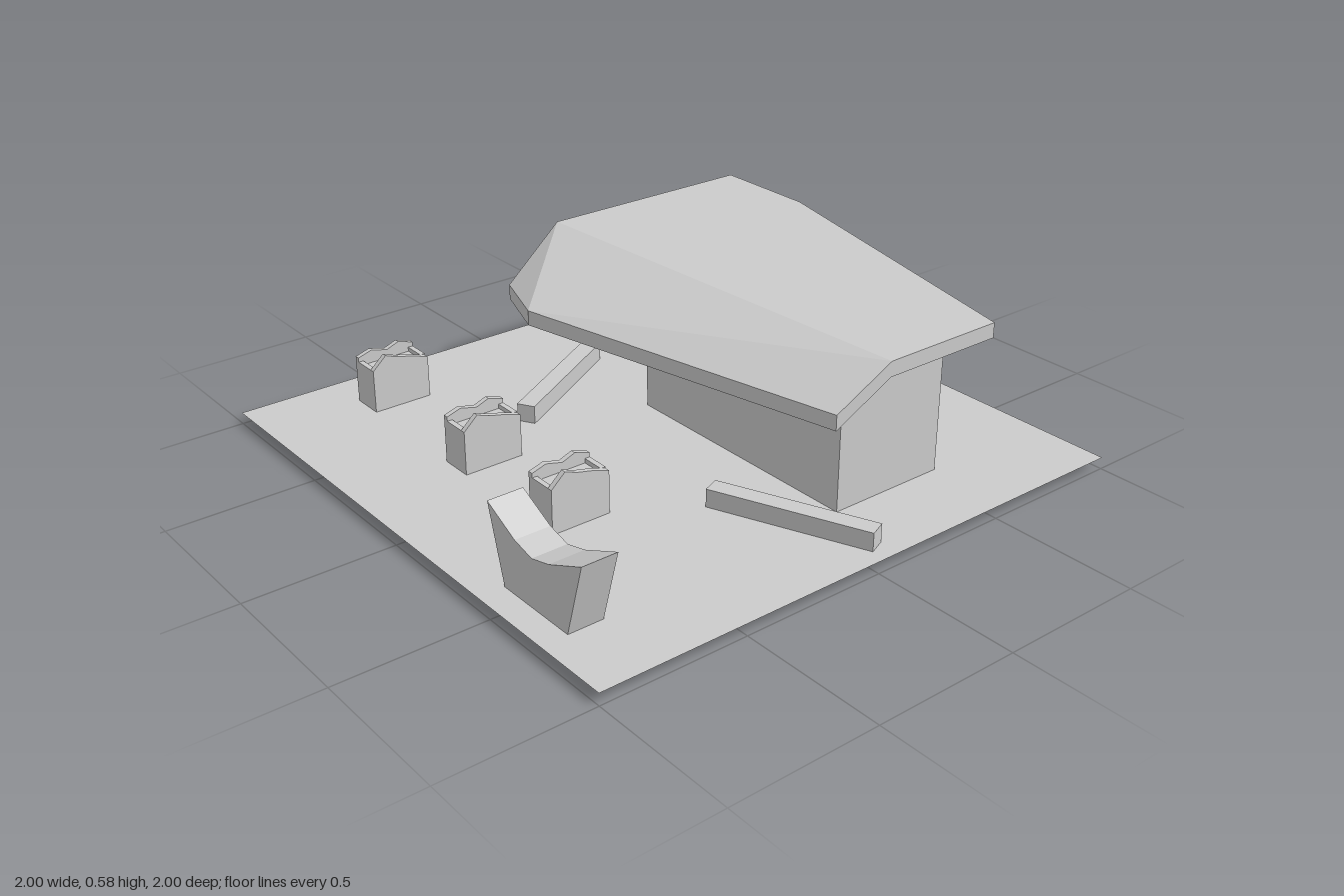
import * as THREE from 'three';

const mat = new THREE.MeshStandardMaterial({ color: 0xcccccc, flatShading: true });
const thin = new THREE.MeshStandardMaterial({ color: 0xcccccc, flatShading: true, side: THREE.DoubleSide });
const GROUND = 0.04;

function add(parent, name, geometry, x = 0, y = 0, z = 0, material = mat) {
  const mesh = new THREE.Mesh(geometry, material);
  mesh.name = name;
  mesh.position.set(x, y, z);
  parent.add(mesh);
  return mesh;
}

const shapeOf = (pts) => new THREE.Shape(pts.map(([x, y]) => new THREE.Vector2(x, y)));
const extrude = (shape, depth) => new THREE.ExtrudeGeometry(shape, { depth, bevelEnabled: false });

function surface(points, index) {
  const g = new THREE.BufferGeometry();
  g.setAttribute('position', new THREE.Float32BufferAttribute(points.flat(), 3));
  g.setIndex(index);
  const flat = g.toNonIndexed();
  flat.computeVertexNormals();
  return flat;
}

// Folded roof slab: flat on one side, drooping flap on the other
function roofGeometry() {
  const top = [
    [0.14, 0.585, 0.87], [0.57, 0.585, 0.87], [0.83, 0.585, -0.26], [0.83, 0.585, -0.63],
    [0.05, 0.585, -0.63], [-0.22, 0.455, -0.53], [-0.33, 0.483, -0.26], [-0.07, 0.48, 0.87],
  ];
  const n = top.length;
  const bottom = top.map(([x, y, z]) => [x, y - 0.05, z]);
  const index = [];
  for (const [a, b, c] of [[0, 1, 2], [0, 2, 3], [0, 3, 4], [0, 4, 6], [4, 5, 6], [0, 6, 7]]) {
    index.push(a, b, c, a + n, c + n, b + n);
  }
  for (let i = 0; i < n; i++) {
    const j = (i + 1) % n;
    index.push(i, i + n, j + n, i, j + n, j);
  }
  return surface([...top, ...bottom], index);
}

function house() {
  const g = new THREE.Group();
  g.name = 'house';

  // Three plain walls: left, front and right
  const corners = [[0.1, -0.2, 0.54], [0.1, 0.72, 0.518], [0.525, 0.72, 0.54], [0.735, -0.2, 0.54]];
  ['sideWall', 'frontWall', 'slantedWall'].forEach((name, i) => {
    const [ax, az, ah] = corners[i];
    const [bx, bz, bh] = corners[i + 1];
    const quad = [[ax, 0, az], [bx, 0, bz], [bx, bh, bz], [ax, ah, az]];
    add(g, name, surface(quad, [0, 1, 2, 0, 2, 3]), 0, 0, 0, thin);
  });

  // Back wall with a wide window opening
  const back = shapeOf([[0.1, 0], [0.735, 0], [0.735, 0.54], [0.1, 0.54]]);
  back.holes.push(new THREE.Path([[0.17, 0.18], [0.17, 0.47], [0.65, 0.47], [0.65, 0.18]]
    .map(([x, y]) => new THREE.Vector2(x, y))));
  add(g, 'windowWall', extrude(back, 0.04), 0, 0, -0.2);

  add(g, 'roof', roofGeometry());
  add(g, 'roofPost', new THREE.BoxGeometry(0.06, 0.525, 0.06), 0.708, 0.2775, -0.485);
  return g;
}

// Open planter with uneven front and back rims
function planter() {
  const g = new THREE.Group();
  g.name = 'planter';
  const w = 0.105, d = 0.0575, t = 0.018;
  const front = [[-w, 0], [w, 0], [w, 0.145], [0.045, 0.165], [-0.01, 0.178], [-0.055, 0.195], [-w, 0.15]];
  const back = [[-w, 0], [w, 0], [w, 0.165], [0.05, 0.182], [0.005, 0.165], [-0.055, 0.18], [-w, 0.165]];
  add(g, 'frontPanel', extrude(shapeOf(front), t), 0, 0, d - t);
  add(g, 'backPanel', extrude(shapeOf(back), t), 0, 0, -d);
  for (const s of [-1, 1]) {
    add(g, 'sidePanel', new THREE.BoxGeometry(t, 0.15, 2 * d - 2 * t), s * (w - t / 2), 0.075, 0);
  }
  add(g, 'soil', new THREE.BoxGeometry(2 * (w - t), 0.135, 2 * (d - t)), 0, 0.0675, 0);
  return g;
}

export function createModel() {
  const model = new THREE.Group();
  model.name = 'pavilionSite';

  const ground = add(model, 'ground', new THREE.PlaneGeometry(2, 2), 0, GROUND, 0, thin);
  ground.rotation.x = -Math.PI / 2;

  model.add(house());

  // Row of planters
  for (const z of [-0.78, -0.225, 0.24]) {
    const p = planter();
    p.position.set(-0.54, GROUND, z);
    model.add(p);
  }

  // Low benches beside the house
  for (const [x, z, angle] of [[-0.057, -0.485, 0.52], [-0.053, 0.688, -1.17]]) {
    const bench = add(model, 'bench', new THREE.BoxGeometry(0.542, 0.062, 0.063), x, GROUND + 0.031, z);
    bench.rotation.y = angle;
  }

  // Seat with a dished top and flared ends
  const seat = extrude(shapeOf([
    [0.44, GROUND], [0.74, GROUND], [0.81, 0.285], [0.66, 0.22], [0.58, 0.2], [0.5, 0.22], [0.37, 0.285],
  ]), 0.12);
  seat.rotateY(-Math.PI / 2);
  add(model, 'dishedSeat', seat, -0.79, 0, 0);

  return model;
}
